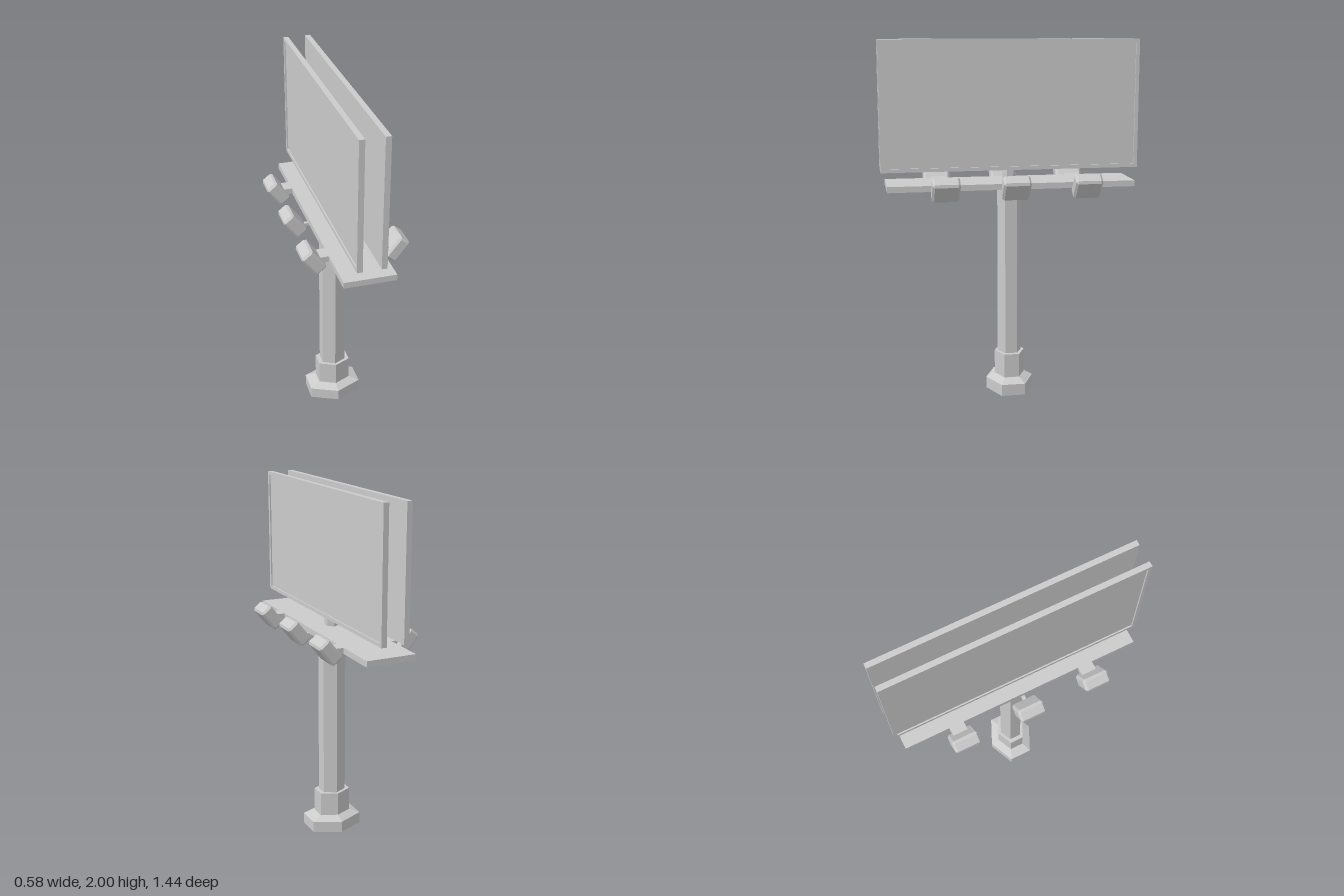
import * as THREE from 'three';
import { ConvexGeometry } from 'three/addons/geometries/ConvexGeometry.js';

const grey = new THREE.MeshStandardMaterial({ color: 0xcccccc, flatShading: true });

function add(parent, name, geometry, x = 0, y = 0, z = 0) {
  const mesh = new THREE.Mesh(geometry, grey);
  mesh.name = name;
  mesh.position.set(x, y, z);
  parent.add(mesh);
  return mesh;
}

// Six-sided prism with corners on the z axis; x and z half-widths given separately
function hexPrism(parent, name, y0, y1, halfX, halfZ, topScale = 1) {
  const g = new THREE.CylinderGeometry(topScale, 1, y1 - y0, 6);
  g.scale(halfX / Math.sin(Math.PI / 3), 1, halfZ);
  return add(parent, name, g, 0, (y0 + y1) / 2, 0);
}

// Box with every edge and corner cut off
function chamferedBox(a, b, w, c) {
  const points = [];
  for (const i of [-1, 1]) for (const j of [-1, 1]) for (const k of [-1, 1]) {
    points.push(
      new THREE.Vector3(i * a, j * (b - c), k * (w - c)),
      new THREE.Vector3(i * (a - c), j * b, k * (w - c)),
      new THREE.Vector3(i * (a - c), j * (b - c), k * w));
  }
  return new ConvexGeometry(points);
}

// Rectangular frame in the y-z plane, extruded along x
function frameGeometry(halfW, halfH, border, depth) {
  const rect = (path, w, h) => {
    path.moveTo(-w, -h);
    path.lineTo(w, -h);
    path.lineTo(w, h);
    path.lineTo(-w, h);
    path.closePath();
    return path;
  };
  const shape = rect(new THREE.Shape(), halfW, halfH);
  shape.holes.push(rect(new THREE.Path(), halfW - border, halfH - border));
  const g = new THREE.ExtrudeGeometry(shape, { depth, bevelEnabled: false });
  g.translate(0, 0, -depth / 2);
  g.rotateY(Math.PI / 2);
  return g;
}

export function createModel() {
  const model = new THREE.Group();
  model.name = 'billboard';

  // Foot, collar and post
  hexPrism(model, 'foot', 0, 0.065, 0.15, 0.135);
  hexPrism(model, 'footSlope', 0.065, 0.088, 0.15, 0.135, 0.64);
  hexPrism(model, 'collar', 0.07, 0.225, 0.092, 0.085);
  hexPrism(model, 'post', 0.2, 1.19, 0.068, 0.068);
  hexPrism(model, 'upperPost', 1.19, 1.425, 0.035, 0.037);

  // Walkway with tabs that reach out to the outer lamps
  const rows = [-0.39, 0, 0.385];
  const walkway = new THREE.Shape();
  const outline = [[0.14, -0.688]];
  for (const z of [rows[0], rows[2]]) {
    outline.push([0.14, z - 0.042], [0.2, z - 0.042], [0.2, z + 0.042], [0.14, z + 0.042]);
  }
  outline.push([0.14, 0.688]);
  const mirrored = outline.map(([x, z]) => [-x, z]).reverse();
  walkway.setFromPoints([...outline, ...mirrored].map(([x, z]) => new THREE.Vector2(x, -z)));
  const walkwayGeometry = new THREE.ExtrudeGeometry(walkway, { depth: 0.033, bevelEnabled: false });
  walkwayGeometry.rotateX(-Math.PI / 2);
  add(model, 'walkway', walkwayGeometry, 0, 1.189, 0);

  // Lamp rods under the walkway
  for (const z of rows) {
    add(model, 'lampRod', new THREE.BoxGeometry(0.37, 0.016, 0.02), 0, 1.184, z + 0.005);
  }

  for (const side of [-1, 1]) {
    // Lamps, tilted up and outwards
    for (const z of rows) {
      const lamp = add(model, side > 0 ? 'leftLamp' : 'rightLamp',
        chamferedBox(0.068, 0.037, 0.075, 0.012),
        side * 0.227, 1.212, z + (z ? -side * 0.004 : 0));
      lamp.rotation.z = side * Math.atan2(0.78, 0.62);
    }

    // Sign panel: frame with a slightly recessed board
    const panel = new THREE.Group();
    panel.name = side > 0 ? 'leftPanel' : 'rightPanel';
    panel.position.set(side * 0.064 - 0.003, 1.644, 0);
    add(panel, 'frame', frameGeometry(0.718, 0.356, 0.02, 0.03));
    add(panel, 'board', new THREE.BoxGeometry(0.022, 0.672, 1.396), -side * 0.004, 0, 0);
    model.add(panel);
  }

  return model;
}
